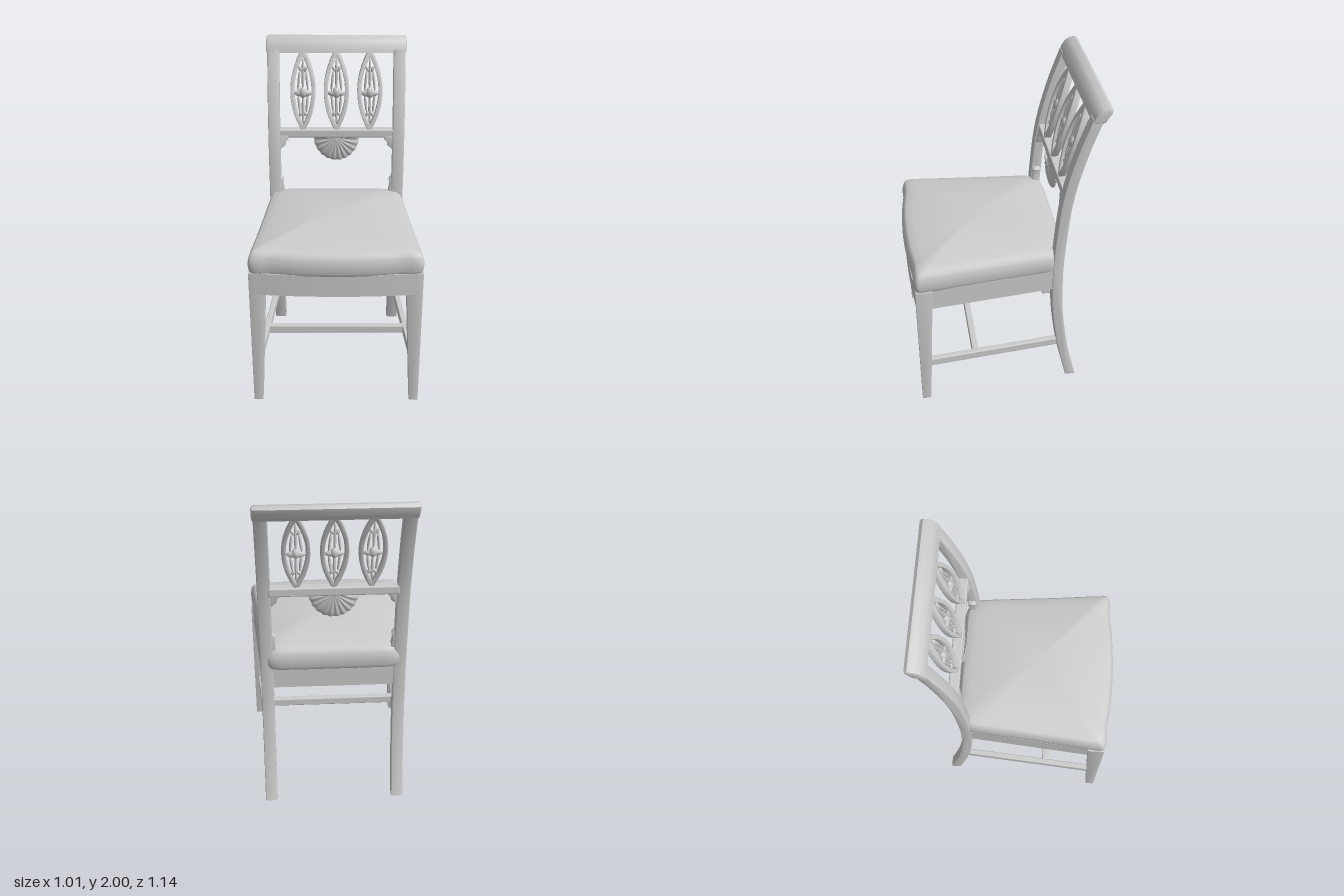
import * as THREE from 'three';
import { toCreasedNormals } from 'three/addons/utils/BufferGeometryUtils.js';
import { RoundedBoxGeometry } from 'three/addons/geometries/RoundedBoxGeometry.js';

const material = new THREE.MeshStandardMaterial({ color: 0xcccccc, side: THREE.DoubleSide });
const V2 = (x, y) => new THREE.Vector2(x, y);
const V3 = (x, y, z) => new THREE.Vector3(x, y, z);

// Centre line of the curved back: z as a function of height
const backLine = new THREE.SplineCurve([
  [-0.443, 0], [-0.378, 0.28], [-0.335, 0.58], [-0.325, 0.8], [-0.327, 1.02],
  [-0.357, 1.4], [-0.422, 1.7], [-0.5, 1.94],
].map(([z, y]) => V2(z, y))).getPoints(140);

function backZ(y) {
  let i = 1;
  while (i < backLine.length - 1 && backLine[i].y < y) i++;
  const a = backLine[i - 1], b = backLine[i];
  return a.x + (b.x - a.x) * (y - a.y) / (b.y - a.y);
}

// Push a flat geometry back along the curve of the chair back
function bend(geometry) {
  const p = geometry.attributes.position;
  for (let i = 0; i < p.count; i++) p.setZ(i, p.getZ(i) + backZ(p.getY(i)));
  return geometry;
}

const crease = (geometry) => toCreasedNormals(geometry, 0.6);

// Extrude centred on z = 0, with rounded edges kept inside the outline
function slab(shape, depth, bevel, curveSegments = 20) {
  return new THREE.ExtrudeGeometry(shape, {
    depth: depth - 2 * bevel, bevelThickness: bevel, bevelSize: bevel,
    bevelOffset: -bevel, bevelSegments: 2, curveSegments,
  }).translate(0, 0, bevel - depth / 2);
}

// Extrude a (z, y) side profile across x
const sideways = (points, width, bevel) =>
  crease(slab(new THREE.Shape(points), width, bevel).rotateY(-Math.PI / 2));

// Straight rail between two points
function bar(a, b, width, height) {
  const g = new RoundedBoxGeometry(width, height, a.distanceTo(b), 2, 0.007);
  g.rotateY(Math.atan2(b.x - a.x, b.z - a.z));
  const m = a.clone().add(b).multiplyScalar(0.5);
  return g.translate(m.x, m.y, m.z);
}

function cushionGeometry() {
  const half = [
    [0, 0.565], [0.2, 0.557], [0.38, 0.537], [0.47, 0.535], [0.5, 0.52], [0.5, 0.47],
    [0.478, 0.25], [0.455, 0], [0.438, -0.2], [0.425, -0.3], [0.4, -0.345],
    [0.355, -0.37], [0.2, -0.378], [0, -0.378],
  ];
  const mirrored = half.slice(1, -1).reverse().map(([x, z]) => [-x, z]);
  const outline = new THREE.CatmullRomCurve3(
    half.concat(mirrored).map(([x, z]) => V3(x, 0, z)), true).getPoints(140).slice(0, -1);
  // Rings of [scale, height] from the crown over the edge to the underside
  const rings = [];
  for (let i = 0; i <= 10; i++) {
    const s = i / 10 * 0.94;
    rings.push([s, 1.088 - 0.062 * s * s]);
  }
  rings.push([0.97, 1.018], [0.988, 1.0], [1, 0.975], [1.003, 0.95], [0.996, 0.92], [0.985, 0.9], [0.97, 0.897], [0, 0.897]);
  const pos = [], index = [], n = outline.length;
  for (const [s, y] of rings)
    for (const p of outline) pos.push(p.x * s, y, 0.09 + (p.z - 0.09) * s);
  for (let r = 0; r < rings.length - 1; r++)
    for (let i = 0; i < n; i++) {
      const a = r * n + i, b = r * n + (i + 1) % n;
      index.push(a, a + n, b + n, a, b + n, b);
    }
  const g = new THREE.BufferGeometry();
  g.setAttribute('position', new THREE.Float32BufferAttribute(pos, 3));
  g.setIndex(index);
  g.computeVertexNormals();
  return g;
}

// Pointed oval outline
function lens(Type, y, w, h) {
  const s = new Type();
  s.moveTo(0, y - h);
  s.quadraticCurveTo(2 * w, y, 0, y + h);
  s.quadraticCurveTo(-2 * w, y, 0, y - h);
  return s;
}

// Bowed, tapered frame under the cushion, drawn in plan as (x, -z)
function apronGeometry() {
  const plan = (Type, front, bow, xf, xb, back) => {
    const s = new Type();
    s.moveTo(-xf, -front);
    s.quadraticCurveTo(0, -front - 2 * bow, xf, -front);
    s.lineTo(xb, -back);
    s.lineTo(-xb, -back);
    s.closePath();
    return s;
  };
  const shape = plan(THREE.Shape, 0.527, 0.028, 0.498, 0.42, -0.35);
  shape.holes.push(plan(THREE.Path, 0.48, 0.028, 0.45, 0.378, -0.305));
  const g = new THREE.ExtrudeGeometry(shape, { depth: 0.14, bevelEnabled: false, curveSegments: 24 });
  return crease(g.rotateX(-Math.PI / 2).translate(0, 0.765, 0));
}

// Half scallop with ribs fanning from its top edge
function shellGeometry() {
  const g = new THREE.SphereGeometry(1, 96, 20, 0, Math.PI).rotateX(Math.PI / 2);
  const p = g.attributes.position;
  for (let i = 0; i < p.count; i++) {
    const x = p.getX(i), y = -Math.abs(p.getY(i)), r = Math.hypot(x, y);
    const rib = Math.cos(Math.atan2(y, x) * 22) * r;
    p.setXYZ(i, x * 0.143 * (1 + 0.015 * rib), 1.4 + y * 0.16 * (1 + 0.015 * rib),
      -0.348 + p.getZ(i) * 0.027 * (1 + 0.18 * rib));
  }
  g.computeVertexNormals();
  return g;
}

export function createModel() {
  const chair = new THREE.Group();
  chair.name = 'chair';
  const add = (name, geometry, parent = chair) => {
    const m = new THREE.Mesh(geometry, material);
    m.name = name;
    parent.add(m);
    return m;
  };

  // Seat
  add('seatCushion', cushionGeometry());
  add('seatApron', apronGeometry());

  // Curved back posts, running from the floor to the crest
  const heights = Array.from({ length: 33 }, (_, i) => i / 32 * 1.93);
  const post = heights.map((y) => V2(backZ(y) + 0.032, y))
    .concat(heights.map((y) => V2(backZ(y) - 0.032, y)).reverse());

  for (const side of [-1, 1]) {
    const label = side > 0 ? 'left' : 'right';
    add(label + 'BackPost', sideways(post, 0.074, 0.008).translate(side * 0.394, 0, 0));

    // Tapered front leg
    const leg = new RoundedBoxGeometry(1, 0.897, 1, 3, 0.012);
    const p = leg.attributes.position;
    for (let i = 0; i < p.count; i++) {
      const k = p.getY(i) / 0.897 + 0.5;
      const w = 0.054 + 0.046 * k;
      p.setXYZ(i, side * 0.503 + (p.getX(i) - side * 0.5) * w, p.getY(i) + 0.457,
        0.531 + (p.getZ(i) - 0.5) * w);
    }
    add(label + 'FrontLeg', crease(leg));
    add(label + 'Stretcher', bar(V3(side * 0.463, 0.3, 0.49), V3(side * 0.393, 0.3, -0.37), 0.036, 0.054));

    // Small carved brackets on the inside of the post
    const upper = [[0.37, 1.41], [0.305, 1.41], [0.305, 1.38], [0.318, 1.375], [0.325, 1.345], [0.345, 1.33], [0.37, 1.305]];
    const lower = [[0.37, 1.15], [0.355, 1.13], [0.338, 1.115], [0.345, 1.08], [0.338, 1.04], [0.335, 0.98], [0.37, 0.98]];
    for (const [name, pts] of [['UpperBracket', upper], ['LowerBracket', lower]])
      add(label + name, crease(bend(slab(new THREE.Shape(pts.map(([x, y]) => V2(side * x, y))), 0.045, 0.005))));
  }
  add('crossStretcher', bar(V3(-0.437, 0.3, 0.18), V3(0.437, 0.3, 0.18), 0.04, 0.052));

  // Back rails
  const crest = [[-0.463, 1.908], [-0.472, 1.945], [-0.492, 1.978], [-0.52, 1.996], [-0.552, 2.0],
    [-0.57, 1.985], [-0.565, 1.962], [-0.545, 1.93], [-0.532, 1.908]].map(([z, y]) => V2(z, y));
  add('crestRail', sideways(crest, 0.876, 0.014));
  add('lowerBackRail', new RoundedBoxGeometry(0.74, 0.052, 0.06, 2, 0.008).translate(0, 1.421, -0.367));
  add('shell', shellGeometry());

  // Three pierced ovals with carved sprays
  for (const x of [-0.21, 0, 0.21]) {
    const oval = new THREE.Group();
    oval.name = 'backOval';
    oval.position.x = x;
    chair.add(oval);
    const ring = lens(THREE.Shape, 1.68, 0.079, 0.258);
    ring.holes.push(lens(THREE.Path, 1.68, 0.054, 0.205));
    add('ovalRing', crease(bend(slab(ring, 0.04, 0.005, 28))), oval);
    const blob = (name, w, h, d, angle, cx, cy) =>
      add(name, bend(new THREE.SphereGeometry(1, 14, 10).scale(w, h, d).rotateZ(angle).translate(cx, cy, 0)), oval);
    blob('ovalBand', 0.056, 0.022, 0.016, 0, 0, 1.665);
    blob('ovalBoss', 0.024, 0.034, 0.022, 0, 0, 1.67);
    for (const up of [-1, 1]) {
      blob('sprayStem', 0.009, 0.1, 0.01, 0, 0, 1.675 + up * 0.1);
      for (const s of [-1, 1]) {
        blob('sprayLeaf', 0.008, 0.062, 0.011, s * up * 0.1, s * 0.026, 1.675 + up * 0.065);
        blob('sprayTip', 0.011, 0.02, 0.011, -s * up * 0.6, s * 0.015, 1.675 + up * 0.135);
      }
    }
  }
  return chair;
}
